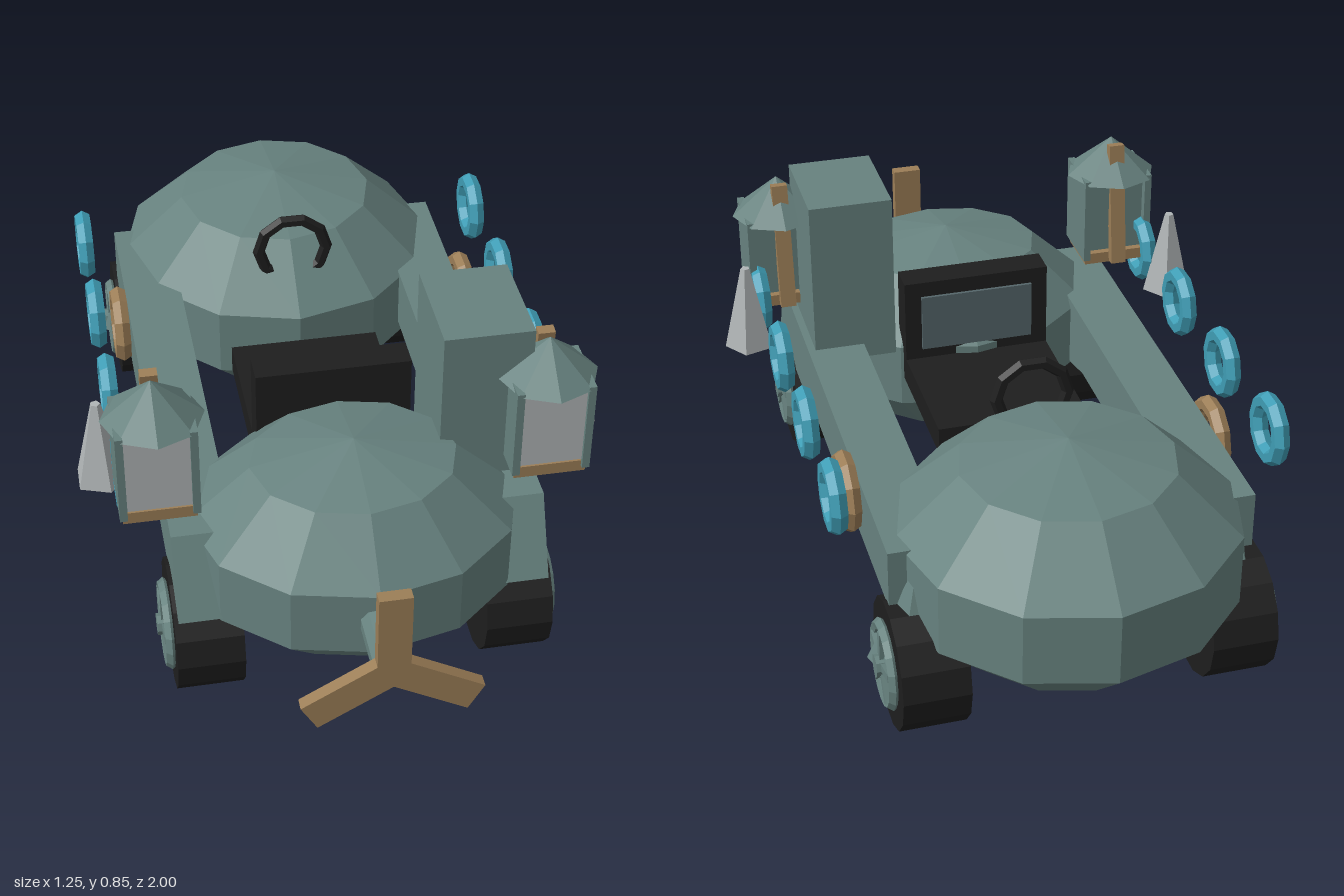
import * as THREE from 'three';

const mat = (name, color) => {
  const m = new THREE.MeshStandardMaterial({ color, flatShading: true });
  m.name = name;
  return m;
};

export function createModel() {
  const teal = mat('teal paint', 0x67827f);
  const black = mat('black rubber', 0x1e1e1e);
  const wood = mat('wood', 0x9c7e57);
  const blue = mat('blue ring', 0x3f9db5);
  const grey = mat('pale grey', 0xb0b5b6);
  const slate = mat('slate panel', 0x55666a);

  const root = new THREE.Group();
  root.name = 'kart';
  const car = new THREE.Group();
  car.name = 'car';
  car.position.x = -0.009;
  root.add(car);

  const add = (parent, name, geo, m, x = 0, y = 0, z = 0) => {
    const mesh = new THREE.Mesh(geo, m);
    mesh.name = name;
    mesh.position.set(x, y, z);
    parent.add(mesh);
    return mesh;
  };
  const box = (w, h, d) => new THREE.BoxGeometry(w, h, d);

  // Faceted front and rear body pods
  add(car, 'frontPod', new THREE.SphereGeometry(1, 12, 5), teal, 0, 0.345, 0.52).scale.set(0.41, 0.272, 0.347);
  add(car, 'rearPod', new THREE.SphereGeometry(1, 12, 5), teal, 0, 0.35, -0.595).scale.set(0.43, 0.29, 0.426);

  // Propeller on its shaft
  add(car, 'propellerShaft', new THREE.CylinderGeometry(0.045, 0.045, 0.17, 10).rotateX(Math.PI / 2), teal, 0, 0.348, 0.89);
  const propeller = new THREE.Group();
  propeller.name = 'propeller';
  propeller.position.set(0, 0.348, 0.985);
  car.add(propeller);
  for (let i = 0; i < 3; i++) {
    const blade = add(propeller, 'blade', box(0.075, 0.217, 0.03).translate(0, 0.1085, 0), wood);
    blade.rotation.z = (i * Math.PI * 2) / 3;
  }

  // Seat, backrest and steering wheel
  add(car, 'seatBase', box(0.375, 0.07, 0.4), black, 0, 0.375, 0.06);
  add(car, 'seatBack', box(0.375, 0.25, 0.075), black, 0, 0.505, 0.24);
  add(car, 'seatPanel', box(0.29, 0.15, 0.009), slate, 0, 0.515, 0.199);
  add(car, 'steeringWheel', new THREE.TorusGeometry(0.088, 0.016, 6, 10), black, 0, 0.582, -0.308);

  // Tall box on one side of the front pod
  add(car, 'tallBox', box(0.21, 0.44, 0.265), teal, 0.311, 0.635, 0.373);

  // Profile of a side rail, drawn in z and y
  const railShape = new THREE.Shape();
  [[0.69, 0.27], [0.6, 0.455], [-0.66, 0.45], [-0.66, 0.3], [0.2, 0.295], [0.3, 0.27]].forEach(([z, y], i) =>
    i ? railShape.lineTo(z, y) : railShape.moveTo(z, y));
  const railGeo = new THREE.ExtrudeGeometry(railShape, { depth: 0.145, bevelEnabled: false });
  railGeo.rotateY(-Math.PI / 2).translate(0.0725, 0, 0);

  const makeWheel = (side, z) => {
    const wheel = new THREE.Group();
    wheel.name = 'wheel';
    wheel.position.set(side * 0.365, 0.156, z);
    wheel.rotation.y = side > 0 ? 0 : Math.PI;
    car.add(wheel);
    add(wheel, 'tyre', new THREE.CylinderGeometry(0.156, 0.156, 0.158, 14).rotateZ(Math.PI / 2), black);
    add(wheel, 'rim', new THREE.TorusGeometry(0.094, 0.015, 5, 16).rotateY(Math.PI / 2), teal, 0.085);
    add(wheel, 'hub', new THREE.CylinderGeometry(0.026, 0.026, 0.036, 8).rotateZ(Math.PI / 2), teal, 0.092);
    for (let i = 0; i < 5; i++) {
      const spoke = add(wheel, 'spoke', box(0.02, 0.09, 0.02).translate(0, 0.045, 0), teal, 0.09);
      spoke.rotation.x = (i * Math.PI * 2) / 5;
    }
  };

  const makeLantern = (side) => {
    const lantern = new THREE.Group();
    lantern.name = 'lantern';
    lantern.position.set(side * 0.452, 0, 0.505);
    car.add(lantern);
    add(lantern, 'lanternRoof', new THREE.ConeGeometry(0.118, 0.1, 8), teal, 0, 0.78, -0.005);
    add(lantern, 'lanternBase', box(0.17, 0.03, 0.14), wood, 0, 0.504, 0);
    add(lantern, 'lanternCore', box(0.145, 0.2, 0.125), teal, 0, 0.625, 0);
    add(lantern, 'lanternPane', box(0.15, 0.2, 0.009), grey, 0, 0.625, 0.067);
    for (const s of [-1, 1]) add(lantern, 'lanternWall', box(0.018, 0.235, 0.16), teal, s * 0.083, 0.622, 0);
    // Leaning plank behind the lantern
    const plank = add(lantern, 'lanternPlank', box(0.04, 0.33, 0.025), wood, 0, 0.66, -0.066);
    plank.rotation.x = 0.14;
  };

  for (const side of [-1, 1]) {
    add(car, 'sideRail', railGeo, teal, side * 0.362);
    add(car, 'rearFender', new THREE.ConeGeometry(0.12, 0.27, 5), teal, side * 0.37, 0.285, -0.67);
    makeWheel(side, 0.565);
    makeWheel(side, -0.675);
    makeLantern(side);
    // Row of hoops along the flank
    for (let i = 0; i < 4; i++) {
      add(car, 'blueHoop', new THREE.TorusGeometry(0.07, 0.022, 6, 10).rotateY(Math.PI / 2), blue,
        side * 0.523, 0.522, 0.435 - i * 0.315);
    }
    add(car, 'woodHoop', new THREE.TorusGeometry(0.08, 0.022, 6, 10).rotateY(Math.PI / 2), wood,
      side * 0.456, 0.394, -0.315);
    add(car, 'sideSpike', new THREE.CylinderGeometry(0.012, 0.064, 0.22, 5).rotateY(0.3), grey,
      side * 0.568, 0.55, 0.345);
  }

  return root;
}
